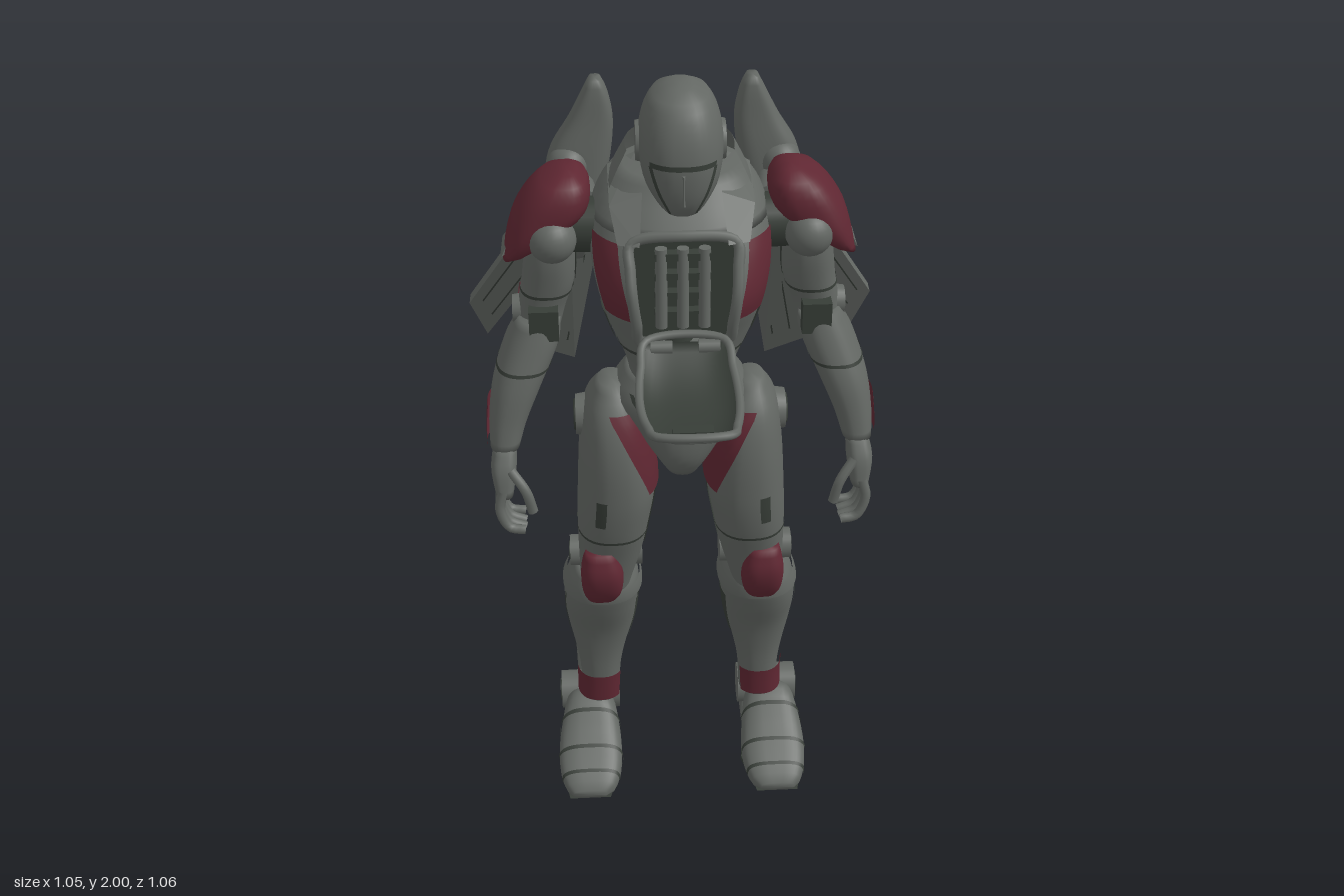
import * as THREE from 'three';
import { mergeVertices } from 'three/addons/utils/BufferGeometryUtils.js';
import { ConvexGeometry } from 'three/addons/geometries/ConvexGeometry.js';
import { ParametricGeometry } from 'three/addons/geometries/ParametricGeometry.js';

const paint = (name, color) => Object.assign(new THREE.MeshStandardMaterial({ color, side: THREE.DoubleSide }), { name });
const V = (x, y, z) => new THREE.Vector3(x, y, z);

// Smooth surface through cross-sections [y, x0, x1, z0, z1]; angle 0 = +x, 90 = front
function surface(secs, n = 2.4, grow = 0) {
  const s = [...secs].sort((p, q) => p[0] - q[0]);
  const slope = (i, k) => {
    const p = s[Math.max(i - 1, 0)], q = s[Math.min(i + 1, s.length - 1)];
    return (q[k] - p[k]) / (q[0] - p[0]);
  };
  const at = (y, k) => {
    let i = 0;
    while (i < s.length - 2 && y > s[i + 1][0]) i++;
    const h = s[i + 1][0] - s[i][0], t = (y - s[i][0]) / h, t2 = t * t, t3 = t2 * t;
    return (2 * t3 - 3 * t2 + 1) * s[i][k] + (t3 - 2 * t2 + t) * h * slope(i, k)
      + (3 * t2 - 2 * t3) * s[i + 1][k] + (t3 - t2) * h * slope(i + 1, k);
  };
  const pow = c => Math.sign(c) * Math.abs(c) ** (2 / n);
  return (deg, y) => {
    const a = deg * Math.PI / 180, x0 = at(y, 1), x1 = at(y, 2), z0 = at(y, 3), z1 = at(y, 4);
    return V((x0 + x1) / 2 + ((x1 - x0) / 2 + grow) * pow(Math.cos(a)), y,
      (z0 + z1) / 2 + ((z1 - z0) / 2 + grow) * pow(Math.sin(a)));
  };
}

// Whole loft, or a patch of it limited by angle and height; skew turns the patch as it rises
function loft(secs, { n, a = [0, 360], y, skew = 0, grow = 0, cap } = {}) {
  const P = surface(secs, n, grow), ys = secs.map(s => s[0]);
  const [y0, y1] = y || [Math.min(...ys), Math.max(...ys)];
  const U = Math.max(6, Math.round((a[1] - a[0]) / 10)), R = Math.max(2, Math.round((y1 - y0) / 0.018));
  const pos = [], idx = [];
  for (let j = 0; j <= R; j++) for (let i = 0; i <= U; i++)
    pos.push(...P(a[0] + (a[1] - a[0]) * i / U + skew * j / R, y0 + (y1 - y0) * j / R).toArray());
  for (let j = 0; j < R; j++) for (let i = 0; i < U; i++) {
    const p = j * (U + 1) + i, q = p + U + 1;
    idx.push(p, q, p + 1, q, q + 1, p + 1);
  }
  if (cap ?? (!y && a[1] - a[0] === 360)) for (const [row, h] of [[0, y0], [R, y1]]) {
    const c = pos.length / 3, o = row * (U + 1);
    pos.push(...P(0, h).add(P(180, h)).multiplyScalar(0.5).toArray());
    for (let i = 0; i < U; i++) row ? idx.push(c, o + i + 1, o + i) : idx.push(c, o + i, o + i + 1);
  }
  const g = new THREE.BufferGeometry();
  g.setAttribute('position', new THREE.Float32BufferAttribute(pos, 3));
  g.setIndex(idx);
  const m = mergeVertices(g, 1e-5);
  m.computeVertexNormals();
  return m;
}
const hull = pts => new ConvexGeometry(pts.map(p => V(...p)));
// Flat convex plate through 3D corners
function slab(pts, t) {
  const c = pts.map(p => V(...p));
  const d = c[1].clone().sub(c[0]).cross(c[2].clone().sub(c[0])).setLength(t / 2);
  return new ConvexGeometry(c.flatMap(p => [p.clone().add(d), p.clone().sub(d)]));
}
function rod(p, q, r0, r1 = r0, sides = 20) {
  const a = V(...p), b = V(...q), d = b.clone().sub(a);
  return new THREE.CylinderGeometry(r1, r0, d.length(), sides)
    .applyQuaternion(new THREE.Quaternion().setFromUnitVectors(V(0, 1, 0), d.normalize()))
    .translate(...a.add(b).multiplyScalar(0.5).toArray());
}
const tube = (pts, r, closed = false, segs = 40) =>
  new THREE.TubeGeometry(new THREE.CatmullRomCurve3(pts, closed), segs, r, 8, closed);
const box = (w, h, d, x, y, z) => new THREE.BoxGeometry(w, h, d).translate(x, y, z);
const ball = (r, x, y, z) => new THREE.SphereGeometry(r, 24, 16).translate(x, y, z);
function mirror(geo) {
  const g = geo.clone().scale(-1, 1, 1);
  const i = g.index ? [...g.index.array] : [...Array(g.attributes.position.count).keys()];
  for (let k = 0; k < i.length; k += 3) [i[k], i[k + 1]] = [i[k + 1], i[k]];
  g.setIndex(i);
  return g;
}

export function createModel() {
  const root = new THREE.Group();
  root.name = 'armourSuit';
  const grey = paint('armourGrey', 0x636763), red = paint('armourRed', 0x5f2732), dark = paint('darkGrey', 0x373d37);
  const add = (name, geo, mat = grey) => {
    const m = new THREE.Mesh(geo, mat);
    m.name = name;
    root.add(m);
  };
  const pair = (name, geo, mat) => { add(name + 'Left', geo, mat); add(name + 'Right', mirror(geo), mat); };
  const seam = (name, secs, y, a) => pair(name, loft(secs, { y: [y, y + 0.008], a, grow: 0.002 }), dark);

  // Helmet
  const head = [[2, -.03, .03, -.065, .025], [1.985, -.06, .06, -.1, .06], [1.93, -.088, .088, -.135, .095],
    [1.86, -.096, .096, -.14, .112], [1.79, -.085, .085, -.12, .11], [1.74, -.06, .06, -.1, .095], [1.71, -.045, .045, -.08, .07]];
  add('helmet', loft(head));
  add('visorSlit', loft(head, { a: [45, 135], y: [1.848, 1.86], grow: .003 }), dark);
  pair('cheekSeam', loft(head, { a: [60, 67], y: [1.73, 1.848], skew: -18, grow: .002 }), dark);
  add('faceRidge', hull([[-.012, 1.845, .1], [.012, 1.845, .1], [-.012, 1.75, .09], [.012, 1.75, .09], [0, 1.835, .118], [0, 1.76, .11]]));
  pair('earDisc', rod([.07, 1.86, -.03], [.102, 1.86, -.03], .052, .045, 28));
  add('neck', loft([[1.76, -.06, .06, -.1, .03], [1.6, -.08, .08, -.12, .04]]), dark);

  // Torso with an open cockpit
  const torso = [[1.25, -.12, .12, -.12, .09], [1.33, -.135, .135, -.14, .12], [1.42, -.17, .17, -.165, .145], [1.53, -.2, .2, -.21, .185],
    [1.62, -.212, .212, -.24, .155], [1.7, -.2, .2, -.245, .1], [1.76, -.165, .165, -.22, .05], [1.79, -.13, .13, -.18, .03]];
  add('abdomen', loft(torso, { y: [1.25, 1.42] }));
  add('chestShell', loft(torso, { a: [119, 421], y: [1.42, 1.68] }));
  add('upperChest', loft(torso, { y: [1.68, 1.79], cap: true }));
  const T = surface(torso, 2.4, .006), up = [1.43, 1.49, 1.56, 1.62, 1.67];
  add('cockpitRim', tube([...up.map(y => T(60, y)), T(90, 1.69), ...[...up].reverse().map(y => T(120, y)), T(90, 1.41)], .013, true, 80));
  add('cockpitBack', box(.25, .3, .12, 0, 1.55, 0), dark);
  for (const x of [-.05, 0, .05]) add('cockpitColumn', rod([x, 1.44, .085], [x, 1.64, .075], .014));
  for (let i = 0; i < 4; i++) add('cockpitRib', box(.13, .018, .03, 0, 1.47 + i * .05, .07), dark);
  pair('chestPanel', loft(torso, { a: [27, 57], y: [1.495, 1.665], grow: .006, skew: -7 }), red);
  add('bellyStripe', loft(torso, { a: [62, 118], y: [1.305, 1.35], grow: .006 }), red);
  add('waistSeam', loft(torso, { y: [1.375, 1.385], grow: .002 }), dark);
  pair('flankGap', loft(torso, { a: [0, 22], y: [1.4, 1.47], grow: .004 }), dark);
  pair('shoulderStrap', hull([[.1, 1.8, -.1], [.165, 1.77, -.1], [.09, 1.76, .04], [.165, 1.735, .045], [.1, 1.67, .125], [.15, 1.67, .11], [.12, 1.64, .06]]));
  const collar = [[1.72, -.18, .18, -.23, .1], [1.79, -.15, .15, -.205, .08], [1.84, -.125, .125, -.18, .06]];
  add('collar', loft(collar, { a: [165, 375] }));

  // Lowered chest hatch: dish, underside and rim
  const hatch = (u, v, drop) => V(u * (.09 + .1 * v - .112 * v * v), 1.45 - .2 * v + .165 * v * v - drop * (1 - u ** 4), .165 + .345 * v);
  const dish = (drop, lower) => new ParametricGeometry((u, v, p) => p.copy(hatch(2 * u - 1, v,
    lower - .002 + drop * Math.sin(Math.PI * v) ** .5)), 16, 20);
  add('hatchInside', dish(.022, .006), dark);
  add('hatchShell', dish(.024, .016));
  const edge = [0, .2, .4, .6, .8, .97];
  add('hatchRim', tube([...edge.map(v => hatch(-1, v, 0)), ...[...edge].reverse().map(v => hatch(1, v, 0))], .01, true, 80));
  add('hatchLatch', box(.09, .02, .03, 0, 1.39, .455), dark);
  pair('hatchHinge', rod([.03, 1.435, .17], [.08, 1.435, .17], .016));

  // Pelvis
  const pelvis = [[1.29, -.125, .125, -.12, .09], [1.22, -.165, .165, -.165, .125], [1.14, -.12, .12, -.165, .135],
    [1.07, -.075, .075, -.135, .125], [1.02, -.045, .045, -.08, .09]];
  add('pelvis', loft(pelvis));
  pair('beltSeam', loft(pelvis, { a: [84, 90], y: [1.15, 1.25], skew: -45, grow: .003 }), dark);
  add('beltPlate', hull([[-.1, 1.27, .1], [.1, 1.27, .1], [-.04, 1.19, .135], [.04, 1.19, .135], [-.06, 1.24, .14], [.06, 1.24, .14]]));

  // Backpack
  add('backpack', hull([-1, 1].flatMap(s => [[s * .12, 1.76, -.18], [s * .09, 1.75, -.28], [s * .11, 1.67, -.33], [s * .1, 1.57, -.31], [s * .13, 1.56, -.19]])));
  add('backFin', loft([[1.75, -.02, .02, -.33, -.24], [1.68, -.026, .026, -.38, -.24], [1.55, -.026, .026, -.345, -.2], [1.42, -.018, .018, -.26, -.15]]));
  pair('backPlate', slab([[.045, 1.6, -.31], [.1, 1.6, -.335], [.14, 1.37, -.25], [.1, 1.33, -.235]], .022));
  add('spine', loft([[1.58, -.07, .07, -.26, -.1], [1.4, -.05, .05, -.2, -.1], [1.27, -.035, .035, -.155, -.08]]), dark);

  // Wing pods and blades
  pair('wingStrut', rod([.22, 1.64, -.14], [.24, 1.64, -.28], .042));
  pair('wingPod', loft([[1.9, .172, .2, -.315, -.265], [1.87, .158, .215, -.325, -.258], [1.8, .145, .25, -.335, -.252], [1.71, .152, .3, -.355, -.243],
    [1.61, .172, .312, -.365, -.24], [1.5, .185, .28, -.365, -.25], [1.46, .2, .265, -.37, -.3], [1.38, .225, .25, -.395, -.365]], { n: 3.2 }));
  pair('podKnob', ball(.05, .255, 1.69, -.265));
  const blades = {
    outerBlade: [[.2, 1.57, -.305], [.29, 1.63, -.29], [.525, 1.215, -.465], [.485, 1.1, -.5]],
    innerBlade: [[.165, 1.58, -.35], [.26, 1.57, -.335], [.36, 1.055, -.5], [.26, 1.005, -.52]],
  };
  for (const [name, c] of Object.entries(blades)) {
    pair(name, slab(c, .03));
    const [p, q, r, s] = c.map(k => V(...k));
    const on = (u, v) => p.clone().lerp(q, u).lerp(s.clone().lerp(r, u), v).toArray();
    for (const u of [.25, .7]) pair(name + 'Groove', slab([on(u, .35), on(u + .04, .35), on(u + .04, .9), on(u, .9)], .033), dark);
  }

  // Shoulders and arms; the pad slopes outward to a low tip
  pair('shoulderPad', loft([[1.778, .235, .28, -.115, -.02], [1.765, .217, .312, -.145, .008], [1.73, .205, .35, -.168, .028],
    [1.68, .22, .383, -.175, .034], [1.63, .29, .4, -.17, .03], [1.59, .35, .409, -.155, .015], [1.57, .39, .414, -.13, -.01]], { n: 2.7 }), red);
  pair('shoulderPadTip', hull([[.4, 1.61, -.1], [.4, 1.61, -.03], [.415, 1.58, -.12], [.415, 1.58, -.02], [.42, 1.56, -.07], [.36, 1.575, -.07]]));
  pair('shoulderBall', ball(.057, .297, 1.635, .005));
  pair('shoulderAxle', rod([.15, 1.64, -.05], [.3, 1.64, -.06], .065), dark);
  const upper = [[1.66, .25, .35, -.12, -.01], [1.56, .245, .365, -.165, -.005], [1.48, .25, .375, -.175, -.015],
    [1.42, .27, .385, -.165, -.025], [1.35, .29, .39, -.12, -.03]];
  pair('upperArm', loft(upper));
  pair('elbowGuard', loft(upper, { a: [215, 330], y: [1.375, 1.44], grow: .008 }), red);
  pair('innerArmPanel', loft(upper, { a: [170, 245], y: [1.48, 1.58], grow: .003 }), dark);
  seam('upperArmSeam', upper, 1.46);
  pair('elbowJoint', box(.07, .08, .04, .325, 1.4, -.015), dark);
  pair('elbowDisc', rod([.36, 1.4, -.09], [.4, 1.4, -.09], .04, .034));
  const fore = [[1.4, .285, .385, -.13, 0], [1.34, .29, .42, -.145, .02], [1.24, .335, .455, -.11, .05],
    [1.15, .375, .468, -.07, .065], [1.09, .395, .468, -.03, .075]];
  pair('forearm', loft(fore));
  pair('wristPanel', loft(fore, { a: [-62, 18], y: [1.095, 1.19], grow: .007 }), red);
  seam('forearmSeam', fore, 1.28);
  pair('palm', loft([[1.1, .405, .455, .0, .07], [1.05, .405, .468, .005, .1], [.98, .415, .46, .015, .115]], { n: 3 }));
  for (let i = 0; i < 4; i++) {
    const z = .025 + i * .027;
    pair('finger', tube([V(.44, 1, z), V(.45, .95, z + .006), V(.428, .9, z + .012), V(.39, .878 + Math.abs(i - 1.5) * .01, z + .014)], .0125, false, 12));
  }
  pair('thumb', tube([V(.42, 1.05, .09), V(.385, 1, .11), V(.37, .94, .11)], .013, false, 10));

  // Thighs and knees
  const thigh = [[1.25, .14, .2, -.05, .04], [1.18, .1, .235, -.13, .09], [1.08, .075, .25, -.175, .118], [.95, .065, .258, -.155, .122],
    [.85, .08, .262, -.13, .11], [.75, .1, .262, -.1, .085], [.66, .125, .26, -.085, .065], [.6, .14, .25, -.07, .05]];
  pair('thigh', loft(thigh));
  pair('groinStripe', loft(thigh, { a: [135, 182], y: [.965, 1.195], skew: -50, grow: .009 }), red);
  pair('seatStripe', loft(thigh, { a: [178, 212], y: [.965, 1.15], skew: 60, grow: .008 }), red);
  pair('hamstringPanel', loft(thigh, { a: [168, 300], y: [.76, .955], grow: .003 }), dark);
  pair('thighPanel', loft(thigh, { a: [62, 78], y: [.88, .96], grow: .003 }), dark);
  seam('thighSeam', thigh, .82, [-60, 180]);
  pair('hipDisc', rod([.22, 1.13, -.03], [.258, 1.13, -.03], .056, .05, 28));
  pair('hipRing', new THREE.TorusGeometry(.034, .006, 6, 28).rotateY(Math.PI / 2).translate(.258, 1.13, -.03), dark);
  pair('kneeGuard', loft([[.6, .175, .24, .02, .06], [.65, .155, .255, .01, .1], [.72, .152, .258, .01, .117], [.78, .17, .245, .02, .1]], { n: 2.8 }), red);
  pair('kneeAxle', rod([.1, .71, -.03], [.285, .71, -.03], .043, .04, 24));
  pair('kneeHub', rod([.28, .71, -.03], [.288, .71, -.03], .024), dark);

  // Calves
  const calf = [[.67, .135, .265, -.12, .045], [.62, .11, .293, -.17, .06], [.55, .11, .305, -.195, .042], [.45, .122, .298, -.2, .005],
    [.36, .145, .282, -.19, -.013], [.28, .16, .27, -.17, -.02], [.19, .165, .27, -.15, -.025]];
  pair('calf', loft(calf));
  pair('calfCuff', loft(calf, { y: [.6, .635], grow: .009 }));
  pair('calfSidePanel', loft(calf, { a: [150, 200], y: [.4, .56], grow: .003 }), dark);
  pair('calfOuterSeam', loft(calf, { a: [18, 23], y: [.34, .58], grow: .003 }), dark);
  pair('anklePanel', loft(calf, { a: [2, 142], y: [.2, .285], grow: .009 }), red);
  pair('calfThruster', rod([.21, .45, -.15], [.21, .395, -.27], .033, .028));

  // Feet, lofted along their length
  const foot = [[-.13, .19, .31, -.15, -.03], [-.05, .175, .32, -.2, 0], [.03, .165, .335, -.14, 0],
    [.1, .17, .333, -.085, 0], [.15, .19, .315, -.052, 0], [.165, .21, .3, -.035, -.01]];
  const along = o => loft(foot, { n: 3, ...o }).rotateX(Math.PI / 2);
  pair('foot', along());
  for (const z of [-.01, .065, .12]) pair('footSeam', along({ a: [180, 360], y: [z, z + .008], grow: .003 }), dark);
  pair('sole', hull([[.18, 0, -.11], [.32, 0, -.11], [.165, 0, .03], [.335, 0, .03], [.2, 0, .155], [.31, 0, .155], [.165, .015, .03], [.335, .015, .03]]), dark);
  pair('heel', hull([.18, .315].flatMap(x => [[x, 0, -.26], [x, .02, -.26], [x, 0, -.13], [x, .11, -.12], [x, .1, -.185]])));
  pair('ankleDisc', rod([.165, .14, -.135], [.325, .14, -.135], .055, .052, 28));
  pair('ankleHub', rod([.32, .14, -.135], [.329, .14, -.135], .03), dark);
  pair('heelThruster', rod([.24, .15, -.13], [.24, .18, -.285], .036, .042));
  return root;
}
